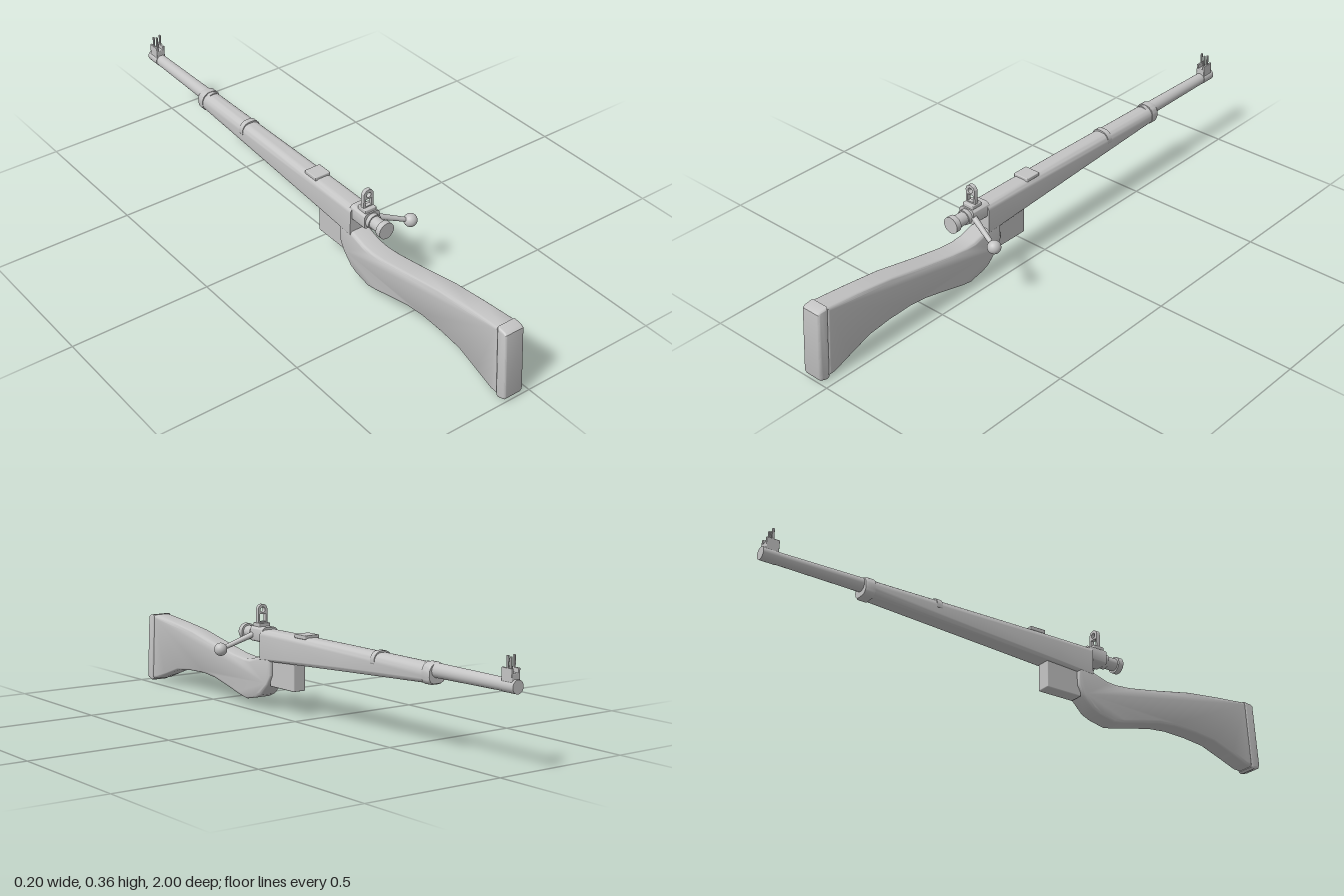
import * as THREE from 'three';
import { toCreasedNormals } from 'three/addons/utils/BufferGeometryUtils.js';
import { RoundedBoxGeometry } from 'three/addons/geometries/RoundedBoxGeometry.js';

export function createModel() {
  const root = new THREE.Group();
  root.name = 'boltActionRifle';
  const gun = new THREE.Group();
  gun.name = 'rifleBody';
  gun.position.x = -0.0635;
  root.add(gun);

  const grey = new THREE.MeshStandardMaterial({ color: 0xc4c4c4 });
  grey.name = 'plain grey';

  function add(name, geometry, x = 0, y = 0, z = 0) {
    const mesh = new THREE.Mesh(geometry, grey);
    mesh.name = name;
    mesh.position.set(x, y, z);
    gun.add(mesh);
    return mesh;
  }

  // Box from its extents, with softened edges
  const block = (name, w, y0, y1, z0, z1, r = 0.003, x = 0) =>
    add(name, new RoundedBoxGeometry(w, y1 - y0, z1 - z0, 2, r), x, (y0 + y1) / 2, (z0 + z1) / 2);

  // Cylinder along z
  const rod = (name, y, z0, z1, r0, r1 = r0) =>
    add(name, new THREE.CylinderGeometry(r1, r0, z1 - z0, 32).rotateX(Math.PI / 2), 0, y, (z0 + z1) / 2);

  // Side profile of (z, y) points, extruded across x with rounded edges
  function sideProfile(name, points, width, bevel) {
    const shape = new THREE.Shape(points.map(([z, y]) => new THREE.Vector2(z, y)));
    const depth = width - 2 * bevel;
    const g = new THREE.ExtrudeGeometry(shape, {
      depth, bevelEnabled: true, bevelSize: bevel, bevelThickness: bevel, bevelOffset: -bevel, bevelSegments: 4,
    });
    g.translate(0, 0, -depth / 2).rotateY(-Math.PI / 2);
    return add(name, toCreasedNormals(g, 0.6));
  }

  // Rounded cross-section: half width, bottom, top, bottom and top corner radii
  function section(hw, yb, yt, rb, rt) {
    const pts = [];
    const corners = [[1, yb + rb, rb, -90], [1, yt - rt, rt, 0], [-1, yt - rt, rt, 90], [-1, yb + rb, rb, 180]];
    for (const [side, cy, r, start] of corners) {
      for (let i = 0; i <= 6; i++) {
        const a = THREE.MathUtils.degToRad(start + i * 15);
        pts.push([side * (hw - r) + r * Math.cos(a), cy + r * Math.sin(a)]);
      }
    }
    return pts;
  }

  // Skin over sections [z, ...section arguments], ordered from rear to muzzle
  function loft(name, stations) {
    const pos = [], idx = [];
    const rings = stations.map(([z, ...s]) => section(...s).map(([x, y]) => [x, y, z]));
    const n = rings[0].length;
    rings.forEach((ring) => ring.forEach((p) => pos.push(...p)));
    for (let i = 0; i < rings.length - 1; i++) {
      for (let j = 0; j < n; j++) {
        const a = i * n + j, b = i * n + (j + 1) % n;
        idx.push(a, a + n, b, b, a + n, b + n);
      }
    }
    const last = (rings.length - 1) * n;
    for (let j = 1; j < n - 1; j++) idx.push(0, j, j + 1, last, last + j + 1, last + j);
    const g = new THREE.BufferGeometry();
    g.setAttribute('position', new THREE.Float32BufferAttribute(pos, 3));
    g.setIndex(idx);
    return add(name, toCreasedNormals(g, 0.6));
  }

  // Shoulder stock with wrist and grip
  sideProfile('stock', [
    [0.95, 0.255], [0.82, 0.242], [0.68, 0.225], [0.52, 0.192], [0.41, 0.172], [0.35, 0.167],
    [0.31, 0.17], [0.25, 0.188], [0.185, 0.195], [0.185, 0.125], [0.205, 0.09], [0.245, 0.05], [0.275, 0.037],
    [0.335, 0.024], [0.38, 0.032], [0.46, 0.052], [0.54, 0.07], [0.61, 0.077], [0.7, 0.074],
    [0.786, 0.064], [0.87, 0.034], [0.935, 0.01], [0.965, 0.008],
  ], 0.073, 0.012);
  sideProfile('buttPlate', [
    [0.945, 0.257], [0.975, 0.253], [0.985, 0.247], [1, 0.02], [0.995, 0.008], [0.97, 0], [0.96, 0.006],
  ], 0.074, 0.008);

  // Fore-end, tapering toward the muzzle
  loft('foreEnd', [
    [0.245, 0.037, 0.172, 0.28, 0.008, 0.02],
    [0.1, 0.037, 0.18, 0.281, 0.012, 0.022],
    [-0.2, 0.036, 0.196, 0.281, 0.016, 0.026],
    [-0.64, 0.034, 0.218, 0.279, 0.022, 0.03],
  ]);

  // Bands around the fore-end
  loft('frontBand', [
    [-0.615, 0.036, 0.214, 0.284, 0.023, 0.031],
    [-0.64, 0.036, 0.214, 0.284, 0.023, 0.031],
    [-0.648, 0.033, 0.218, 0.281, 0.022, 0.03],
  ]);
  loft('middleBand', [
    [-0.365, 0.0365, 0.24, 0.286, 0.01, 0.03],
    [-0.385, 0.0365, 0.24, 0.286, 0.01, 0.03],
  ]);
  block('topPlate', 0.06, 0.276, 0.29, -0.01, 0.05);

  // Magazine
  block('magazine', 0.05, 0.087, 0.2, 0.06, 0.2, 0.004);

  // Barrel and muzzle
  rod('barrel', 0.259, -0.97, -0.6, 0.02, 0.024);
  rod('muzzle', 0.259, -1, -0.945, 0.0215);

  // Bolt housing, bolt and end cap
  loft('boltHousing', [
    [0.31, 0.031, 0.235, 0.288, 0.008, 0.014],
    [0.235, 0.031, 0.235, 0.288, 0.008, 0.014],
  ]);
  rod('bolt', 0.258, 0.29, 0.375, 0.022);
  rod('boltCollar', 0.258, 0.31, 0.325, 0.026);
  rod('boltCap', 0.258, 0.365, 0.385, 0.029);

  // Bolt handle and knob
  const from = new THREE.Vector3(0.02, 0.26, 0.3), to = new THREE.Vector3(0.1405, 0.211, 0.333);
  const handle = add('boltHandle', new THREE.CylinderGeometry(0.0075, 0.0105, from.distanceTo(to), 20));
  handle.position.copy(from).lerp(to, 0.5);
  handle.quaternion.setFromUnitVectors(new THREE.Vector3(0, 1, 0), to.clone().sub(from).normalize());
  add('boltKnob', new THREE.SphereGeometry(0.023, 28, 20), to.x, to.y, to.z);

  // Rear sight: arched leaf with peep hole and slot
  block('rearSightBase', 0.044, 0.28, 0.3, 0.262, 0.305);
  const leaf = new THREE.Shape();
  leaf.moveTo(-0.0195, 0.295).lineTo(0.0195, 0.295).lineTo(0.0195, 0.345);
  leaf.absarc(0, 0.345, 0.0195, 0, Math.PI, false);
  leaf.closePath();
  const peep = new THREE.Path().absarc(0, 0.345, 0.0095, 0, Math.PI * 2, true);
  const slot = new THREE.Path();
  slot.moveTo(-0.0125, 0.304).lineTo(-0.0125, 0.33).lineTo(0.0125, 0.33).lineTo(0.0125, 0.304).closePath();
  leaf.holes.push(peep, slot);
  const leafGeometry = new THREE.ExtrudeGeometry(leaf, { depth: 0.014, bevelEnabled: false, curveSegments: 20 });
  add('rearSightLeaf', toCreasedNormals(leafGeometry, 0.6), 0, 0, 0.277);

  // Front sight: saddle block with two ears and a post
  block('frontSightBase', 0.034, 0.268, 0.298, -0.99, -0.945);
  for (const s of [-1, 1]) {
    block('frontSightSaddle', 0.008, 0.285, 0.313, -0.99, -0.945, 0.002, s * 0.013);
    block('frontSightEar', 0.006, 0.29, 0.35, -0.972, -0.964, 0.002, s * 0.013);
  }
  block('frontSightPost', 0.006, 0.29, 0.344, -0.972, -0.964, 0.002);

  return root;
}
